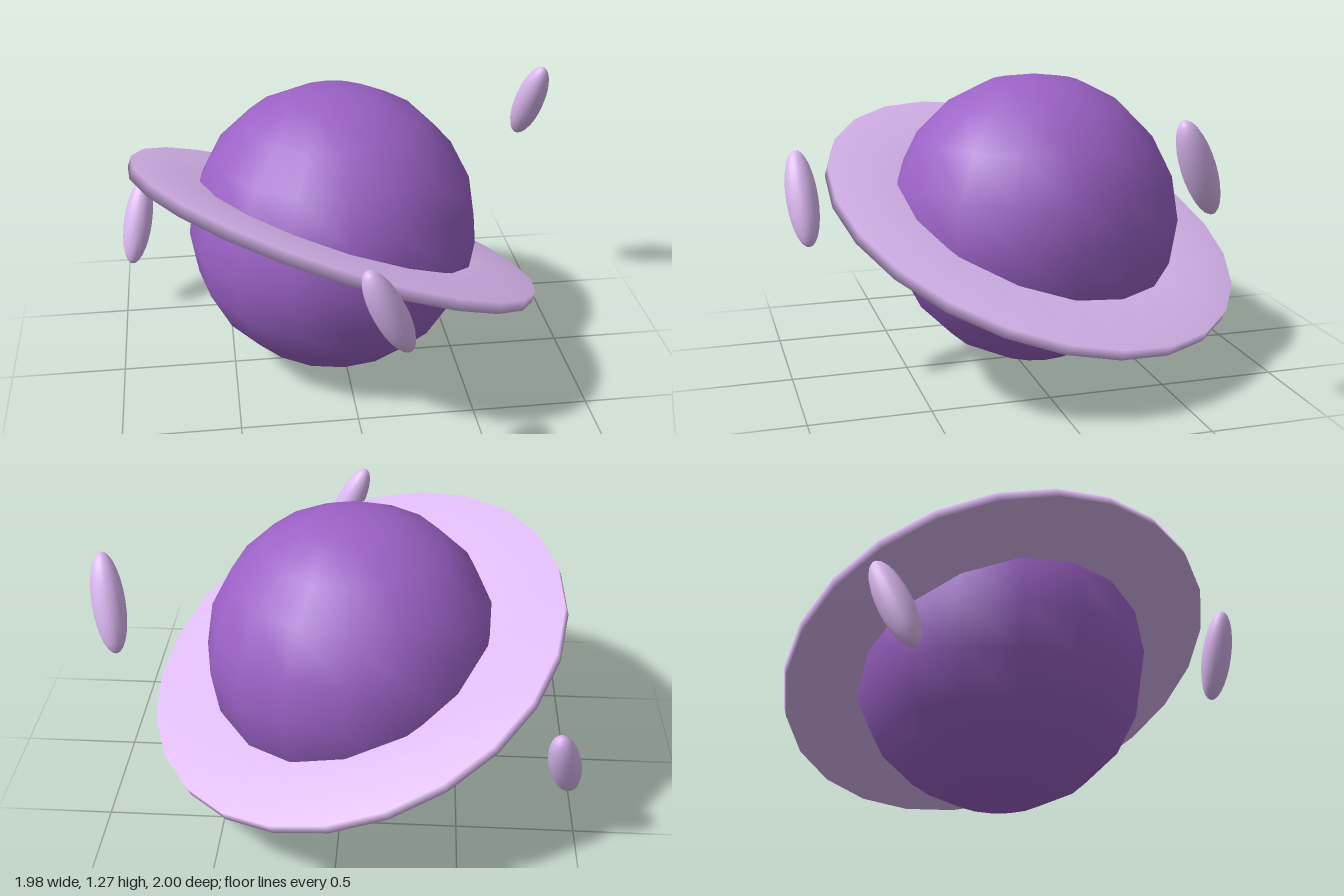
import * as THREE from 'three';

export function createModel() {
  const model = new THREE.Group();
  const purple = new THREE.MeshStandardMaterial({ color: 0x9b62c6 });
  const lilac = new THREE.MeshStandardMaterial({ color: 0xdcb8f2 });
  const up = new THREE.Vector3(0, 1, 0);
  const centre = new THREE.Vector3(-0.035, 0.64, -0.09);

  function add(name, geometry, material, position) {
    const mesh = new THREE.Mesh(geometry, material);
    mesh.name = name;
    mesh.position.copy(position);
    model.add(mesh);
    return mesh;
  }

  // planet globe, coarse sides with smooth normals
  add('planet', new THREE.SphereGeometry(0.635, 16, 10), purple, centre);

  // flat tilted ring with a thin rim; its inner edge is buried in the globe
  const inner = 0.5, outer = 0.935, half = 0.025;
  const profile = [
    [inner, -half], [outer, -half], [outer, half], [inner, half], [inner, -half],
  ].map(([r, y]) => new THREE.Vector2(r, y));
  const ringGeometry = new THREE.LatheGeometry(profile, 24);
  ringGeometry.rotateY(THREE.MathUtils.degToRad(9));
  const ring = add('ring', ringGeometry, lilac, centre);
  ring.quaternion.setFromUnitVectors(up, new THREE.Vector3(0.345, 0.908, -0.235).normalize());

  // three slender moons around the ring, each leaning along its orbit
  const moonGeometry = new THREE.SphereGeometry(1, 20, 14);
  moonGeometry.scale(0.066, 0.205, 0.066);
  const moons = [
    ['frontMoon', [0.05, 0.812, 0.93], [-0.42, 0.905, 0.06]],
    ['leftMoon', [0.918, 1.037, -0.437], [0.15, 0.91, 0.385]],
    ['rightMoon', [-0.918, 0.443, -0.597], [0.195, 0.9, -0.385]],
  ];
  for (const [name, position, axis] of moons) {
    const moon = add(name, moonGeometry, lilac, new THREE.Vector3(...position));
    moon.quaternion.setFromUnitVectors(up, new THREE.Vector3(...axis).normalize());
  }
  return model;
}
